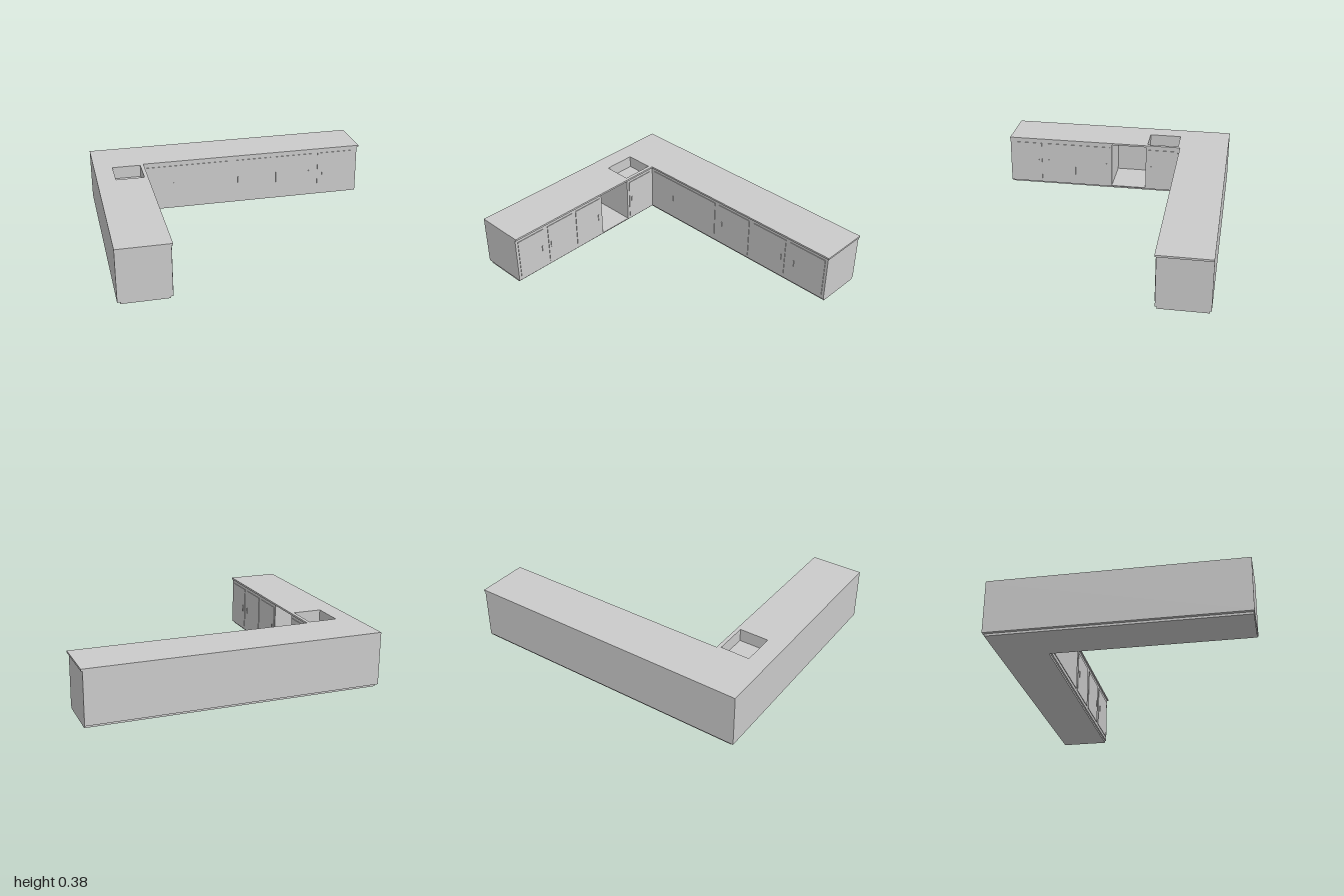
import * as THREE from 'three';

const grey = new THREE.MeshStandardMaterial({ color: 0xcccccc });

// Outline of an L in plan (x, -z); niche adds a notch open to the inner side
function lShape(x0, x1, z0, z1, innerX, innerZ, niche) {
  const pts = [[x0, z0], [x1, z0], [x1, innerZ], [innerX, innerZ]];
  if (niche) {
    pts.push([innerX, niche.z0], [niche.x, niche.z0], [niche.x, niche.z1], [innerX, niche.z1]);
  }
  pts.push([innerX, z1], [x0, z1]);
  return new THREE.Shape(pts.map(([x, z]) => new THREE.Vector2(x, -z)));
}

// Raise a plan outline from y0 to y1
function raise(name, shape, y0, y1) {
  const geo = new THREE.ExtrudeGeometry(shape, { depth: y1 - y0, bevelEnabled: false });
  geo.rotateX(-Math.PI / 2);
  geo.translate(0, y0, 0);
  const mesh = new THREE.Mesh(geo, grey);
  mesh.name = name;
  return mesh;
}

function box(name, x0, x1, y0, y1, z0, z1) {
  const mesh = new THREE.Mesh(new THREE.BoxGeometry(x1 - x0, y1 - y0, z1 - z0), grey);
  mesh.position.set((x0 + x1) / 2, (y0 + y1) / 2, (z0 + z1) / 2);
  mesh.name = name;
  return mesh;
}

export function createModel() {
  const model = new THREE.Group();
  model.name = 'cornerKitchenUnit';

  const sink = { x0: -0.87, x1: -0.67, z0: -0.46, z1: -0.23 };
  const sinkHole = () => new THREE.Path([
    [sink.x0, sink.z0], [sink.x0, sink.z1], [sink.x1, sink.z1], [sink.x1, sink.z0],
  ].map(([x, z]) => new THREE.Vector2(x, -z)));
  const faceX = -0.655, faceZ = -0.485;

  // Recessed plinth and cabinet floor
  model.add(raise('plinth', lShape(-0.98, 0.99, -0.82, 0.825, -0.67, -0.495), 0, 0.015));
  model.add(raise('cabinetFloor', lShape(-1, 0.99, -0.83, 0.83, faceX, faceZ), 0.015, 0.022));

  // Cabinet bodies with the open appliance bay and the sink well
  const body = lShape(-1, 0.99, -0.83, 0.83, faceX, faceZ, { x: -0.985, z0: -0.22, z1: 0.04 });
  body.holes.push(sinkHole());
  model.add(raise('cabinetBody', body, 0.022, 0.362));

  // Worktop
  const top = lShape(-1, 1, -0.83, 0.83, -0.645, -0.475);
  top.holes.push(sinkHole());
  model.add(raise('worktop', top, 0.362, 0.375));
  model.add(box('sinkBottom', sink.x0, sink.x1, 0.28, 0.288, sink.z0, sink.z1));

  // Doors: start, end and handle position along each run
  const y0 = 0.04, y1 = 0.337;
  const backRun = [[-0.63, -0.01, -0.43], [0.025, 0.313, 0.06], [0.353, 0.64, 0.61], [0.68, 0.97, 0.72]];
  for (const [a, b, h] of backRun) {
    model.add(box('backRunDoor', a, b, y0, y1, faceZ, faceZ + 0.004));
    model.add(box('backRunHandle', h - 0.003, h + 0.003, 0.16, 0.205, faceZ, faceZ + 0.009));
  }
  const sideRun = [[-0.46, -0.24, -0.262], [0.055, 0.29, 0.08], [0.322, 0.55, 0.53], [0.585, 0.81, 0.61]];
  for (const [a, b, h] of sideRun) {
    model.add(box('sideRunDoor', faceX, faceX + 0.004, y0, y1, a, b));
    model.add(box('sideRunHandle', faceX, faceX + 0.009, 0.16, 0.205, h - 0.003, h + 0.003));
  }
  return model;
}
